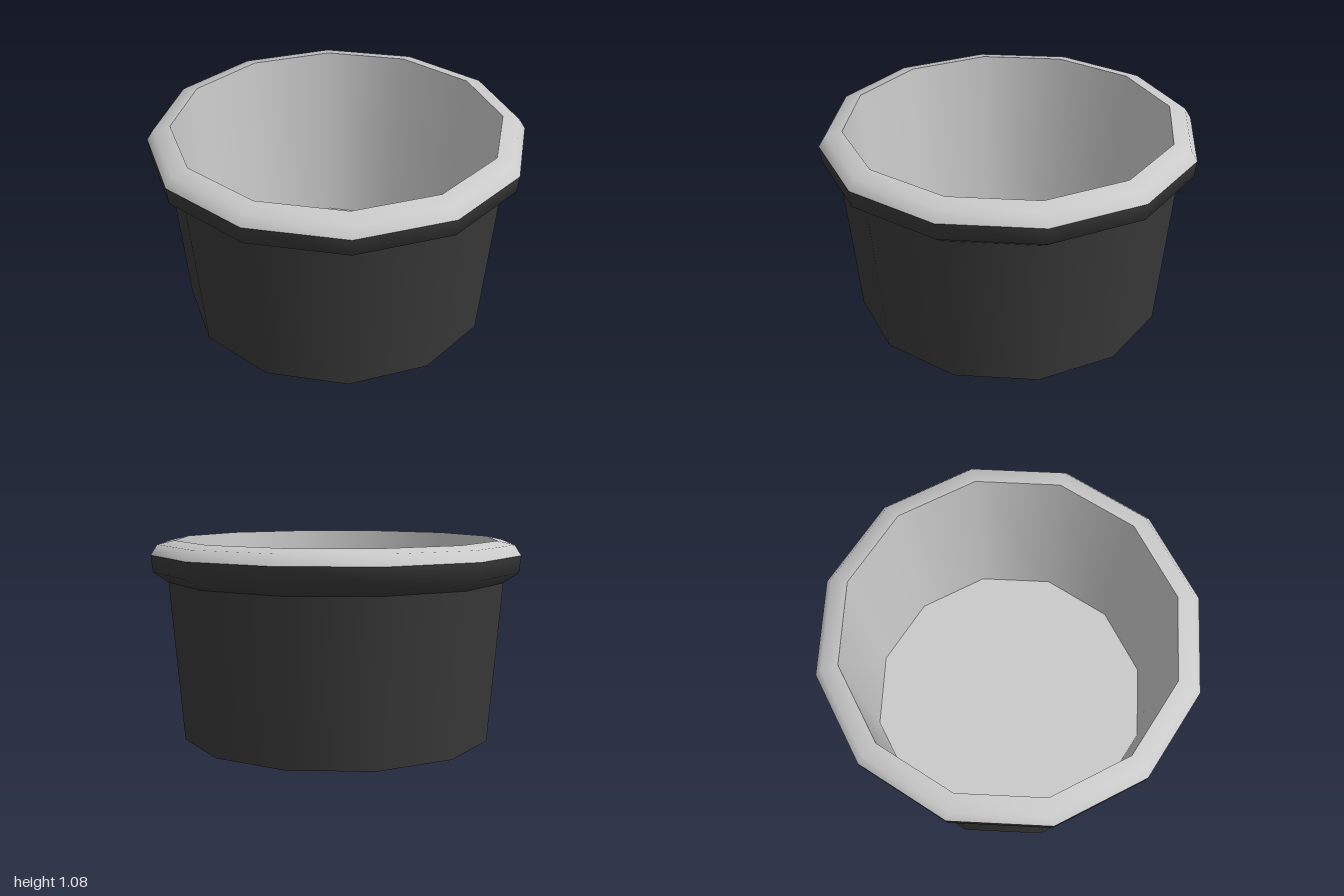
import * as THREE from 'three';

export function createModel() {
  const model = new THREE.Group();
  const dark = new THREE.MeshStandardMaterial({ color: 0x393939 });
  dark.name = 'charcoal';
  const light = new THREE.MeshStandardMaterial({ color: 0xcacaca });
  light.name = 'pale grey';

  // Each ring is a twelve-sided turned profile of [radius, height]; smooth inside, sharp where rings meet
  const ring = (name, material, profile) => {
    const points = profile.map(([r, y]) => new THREE.Vector2(r, y));
    const mesh = new THREE.Mesh(new THREE.LatheGeometry(points, 12), material);
    mesh.name = name;
    model.add(mesh);
  };

  // Outside of the pot
  ring('base', dark, [[0, 0], [0.84, 0]]);
  ring('outerWall', dark, [[0.84, 0], [0.91, 0.855]]);
  ring('rimUnderside', dark, [[0.91, 0.855], [0.99, 0.91], [1, 1]]);

  // Pale rim top and inside
  ring('rimTop', light, [[1, 1], [0.965, 1.055], [0.875, 1.075]]);
  ring('innerWall', light, [[0.875, 1.075], [0.79, 0.03]]);
  ring('floor', light, [[0.79, 0.03], [0, 0.03]]);

  return model;
}
